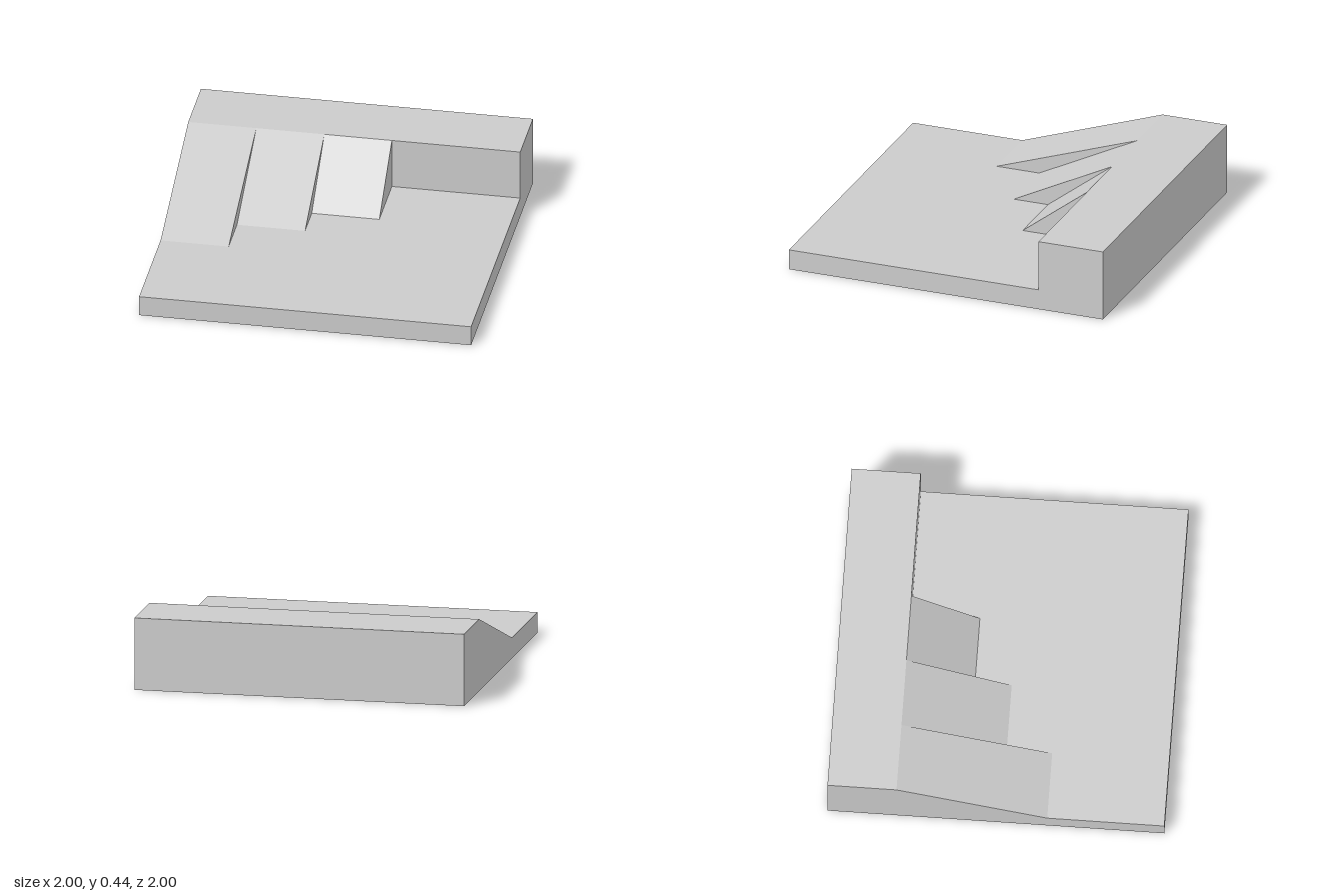
import * as THREE from 'three';

const FLOOR = 0.125, TOP = 0.437, WALL_Z = -0.59;

// Extrudes a side profile of [z, y] points across the width from x0 to x1
function slab(name, profile, x0, x1, material) {
  const shape = new THREE.Shape(profile.map(([z, y]) => new THREE.Vector2(z, y)));
  const geometry = new THREE.ExtrudeGeometry(shape, { depth: x1 - x0, bevelEnabled: false });
  geometry.rotateY(-Math.PI / 2).translate(x1, 0, 0);
  const mesh = new THREE.Mesh(geometry, material);
  mesh.name = name;
  return mesh;
}

export function createModel() {
  const group = new THREE.Group();
  group.name = 'rampTestBlock';
  const material = new THREE.MeshStandardMaterial({ color: 0xcccccc, flatShading: true });

  // Floor plate with the raised ledge along the back
  group.add(slab('floorAndLedge', [
    [-1, 0], [1, 0], [1, FLOOR], [WALL_Z, FLOOR], [WALL_Z, TOP], [-1, TOP],
  ], -1, 1, material));

  // Three ramps side by side, each steeper than the last
  const ramps = [
    ['shallowRamp', -1, -0.59, 0.305],
    ['mediumRamp', -0.59, -0.18, 0.035],
    ['steepRamp', -0.18, 0.227, -0.183],
  ];
  for (const [name, x0, x1, toeZ] of ramps) {
    group.add(slab(name, [[WALL_Z, FLOOR], [toeZ, FLOOR], [WALL_Z, TOP]], x0, x1, material));
  }
  return group;
}
